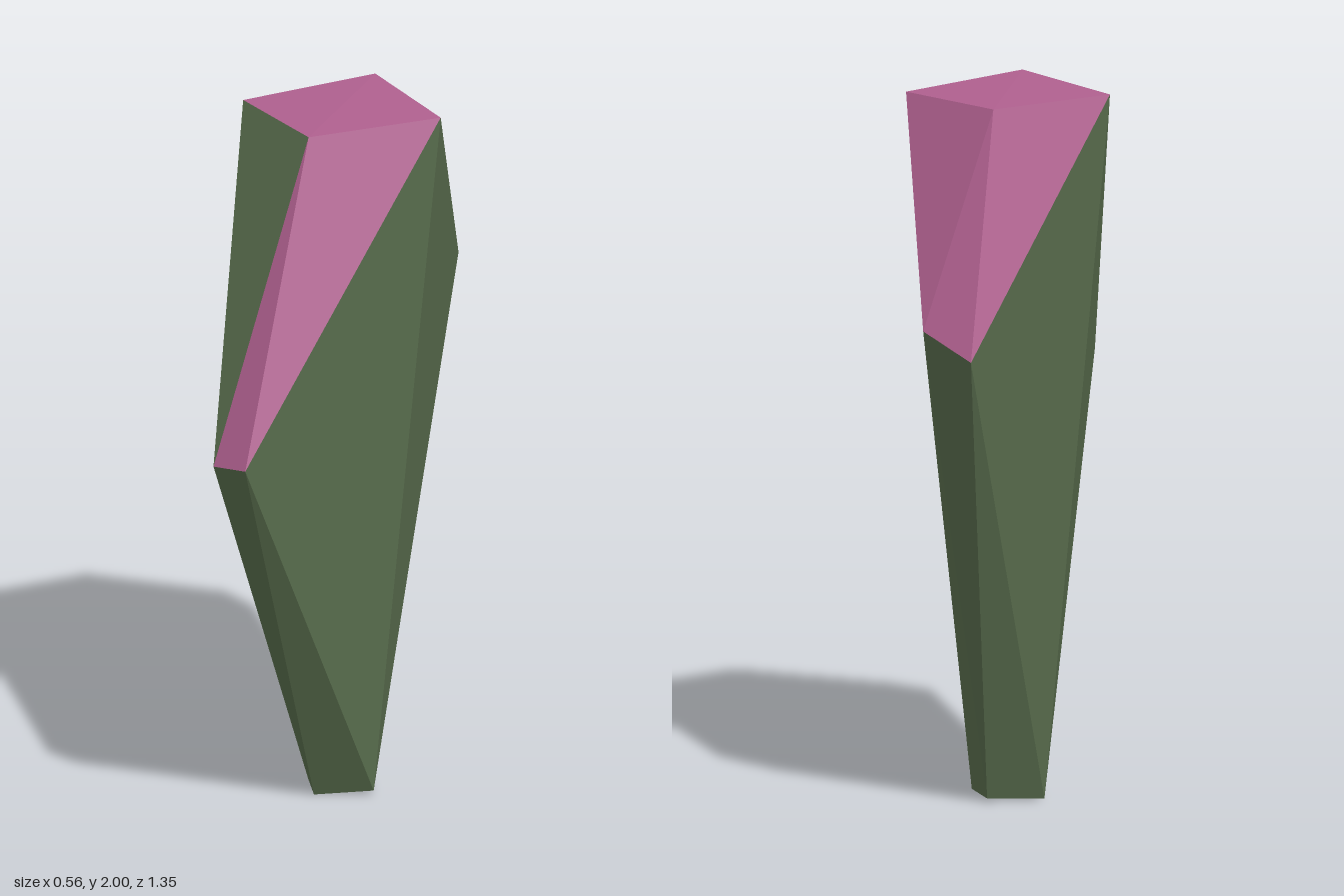
import * as THREE from 'three';

// Corner points of the faceted stone
const P = {
  // top cap
  topFront: [0.02, 2, 0.235], topLeft: [0.28, 1.99, -0.085],
  topBack: [-0.02, 2, -0.32], topRight: [-0.28, 1.99, 0],
  // waist edges, front and back
  frontR: [-0.1, 1.14, 0.62], frontL: [0.02, 1.16, 0.675],
  backR: [-0.035, 1.355, -0.675], backL: [0.125, 1.415, -0.565],
  // small foot
  footFront: [-0.04, 0, 0.06], footLeft: [0.11, 0.01, -0.01],
  footBack: [0.04, 0.01, -0.13], footRight: [-0.105, 0, -0.05],
};

// Flat facets from corner names, each turned to face away from the middle
function facets(name, material, triangles) {
  const middle = new THREE.Vector3(0, 1.1, 0);
  const points = [];
  for (const names of triangles) {
    const [a, b, c] = names.split(' ').map((n) => new THREE.Vector3(...P[n]));
    const normal = b.clone().sub(a).cross(c.clone().sub(a));
    const outward = normal.dot(a.clone().sub(middle)) > 0;
    points.push(a, ...(outward ? [b, c] : [c, b]));
  }
  const geometry = new THREE.BufferGeometry().setFromPoints(points);
  geometry.computeVertexNormals();
  const mesh = new THREE.Mesh(geometry, material);
  mesh.name = name;
  return mesh;
}

export function createModel() {
  const green = new THREE.MeshStandardMaterial({ color: 0x5c7150 });
  green.name = 'moss green';
  const pink = new THREE.MeshStandardMaterial({ color: 0xb0608f });
  pink.name = 'dusty pink';

  const group = new THREE.Group();
  group.name = 'facetedStone';
  group.add(
    facets('topCap', pink, [
      'topFront topLeft topBack', 'topFront topBack topRight',
    ]),
    facets('frontSlope', pink, [
      'topFront frontR frontL', 'topFront frontL topLeft',
    ]),
    facets('backSlope', pink, [
      'topBack topRight backR', 'topBack backR backL', 'topBack backL topLeft',
    ]),
    facets('leftSide', green, [
      'topLeft frontL footLeft', 'topLeft footLeft backL', 'backL footLeft footBack',
    ]),
    facets('rightSide', green, [
      'topRight topFront frontR', 'topRight frontR footRight', 'topRight footRight backR',
    ]),
    facets('frontKeel', green, [
      'frontR footRight footFront', 'frontR footFront frontL', 'frontL footFront footLeft',
    ]),
    facets('backKeel', green, [
      'backL footBack backR', 'backR footBack footRight',
    ]),
    facets('foot', green, [
      'footFront footLeft footRight', 'footLeft footBack footRight',
    ]),
  );
  return group;
}
